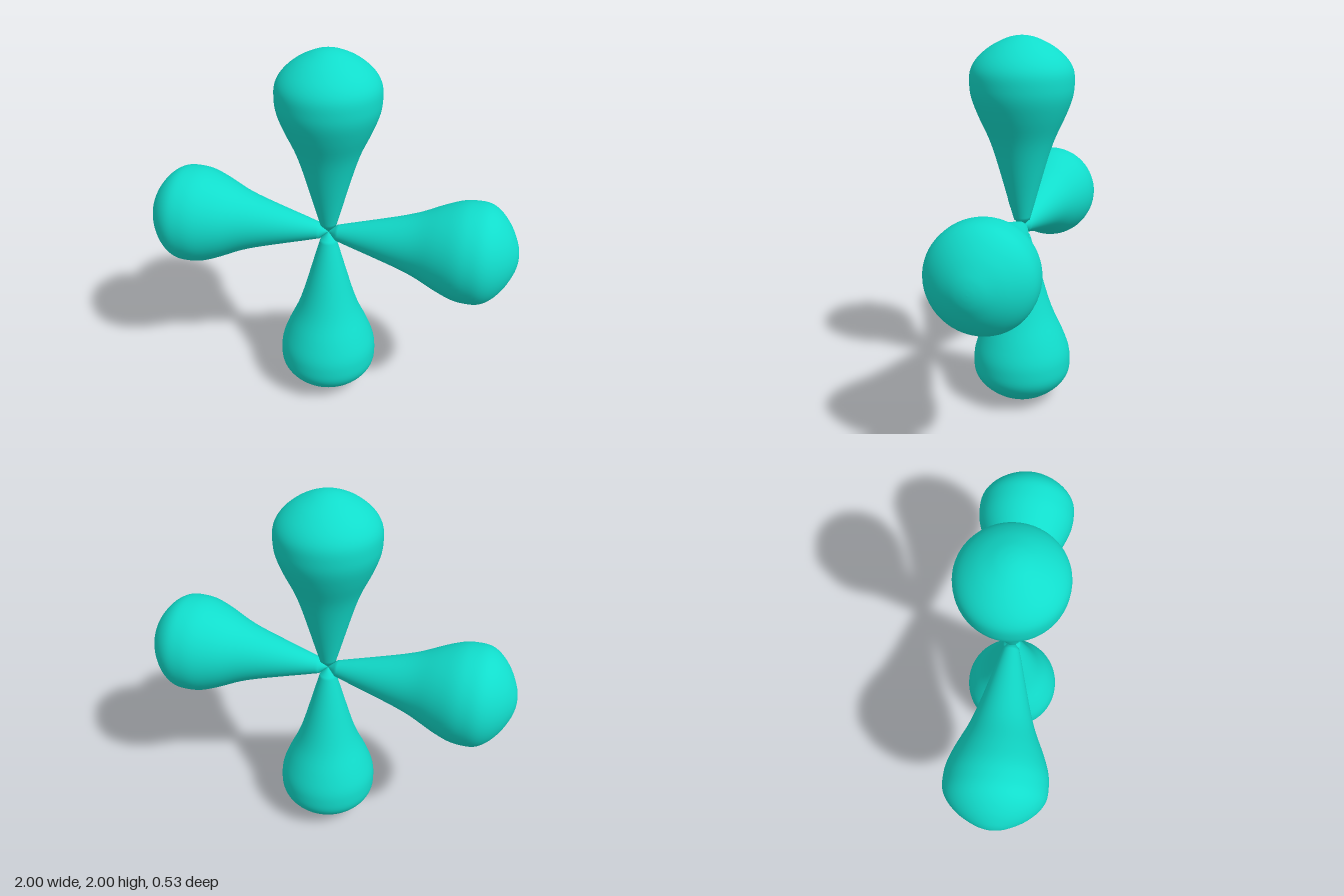
import * as THREE from 'three';

// Half-outline of one lobe: [radius, distance from the hub]
const outline = [
  [0.043, 0.045], [0.067, 0.13], [0.1, 0.25], [0.14, 0.39], [0.175, 0.49],
  [0.225, 0.6], [0.258, 0.69], [0.267, 0.76], [0.261, 0.83], [0.225, 0.89],
  [0.16, 0.945], [0.085, 0.983], [0.035, 0.997], [0, 1],
];

function lobeGeometry() {
  const curve = new THREE.SplineCurve(outline.map(([r, d]) => new THREE.Vector2(r, d)));
  const points = curve.getPoints(52);
  points.forEach((p) => { p.x = Math.max(p.x, 0); });
  // the neck pinches to a point at the hub
  return new THREE.LatheGeometry([new THREE.Vector2(0, 0), ...points], 64);
}

export function createModel() {
  const model = new THREE.Group();
  model.name = 'fourLobes';
  const material = new THREE.MeshStandardMaterial({ color: 0x11ddcc });
  const geometry = lobeGeometry();

  // Four equal lobes in the x-y plane, meeting at the hub
  ['topLobe', 'leftLobe', 'bottomLobe', 'rightLobe'].forEach((name, i) => {
    const lobe = new THREE.Mesh(geometry, material);
    lobe.name = name;
    lobe.position.y = 1;
    lobe.rotation.z = -i * Math.PI / 2;
    model.add(lobe);
  });
  return model;
}
